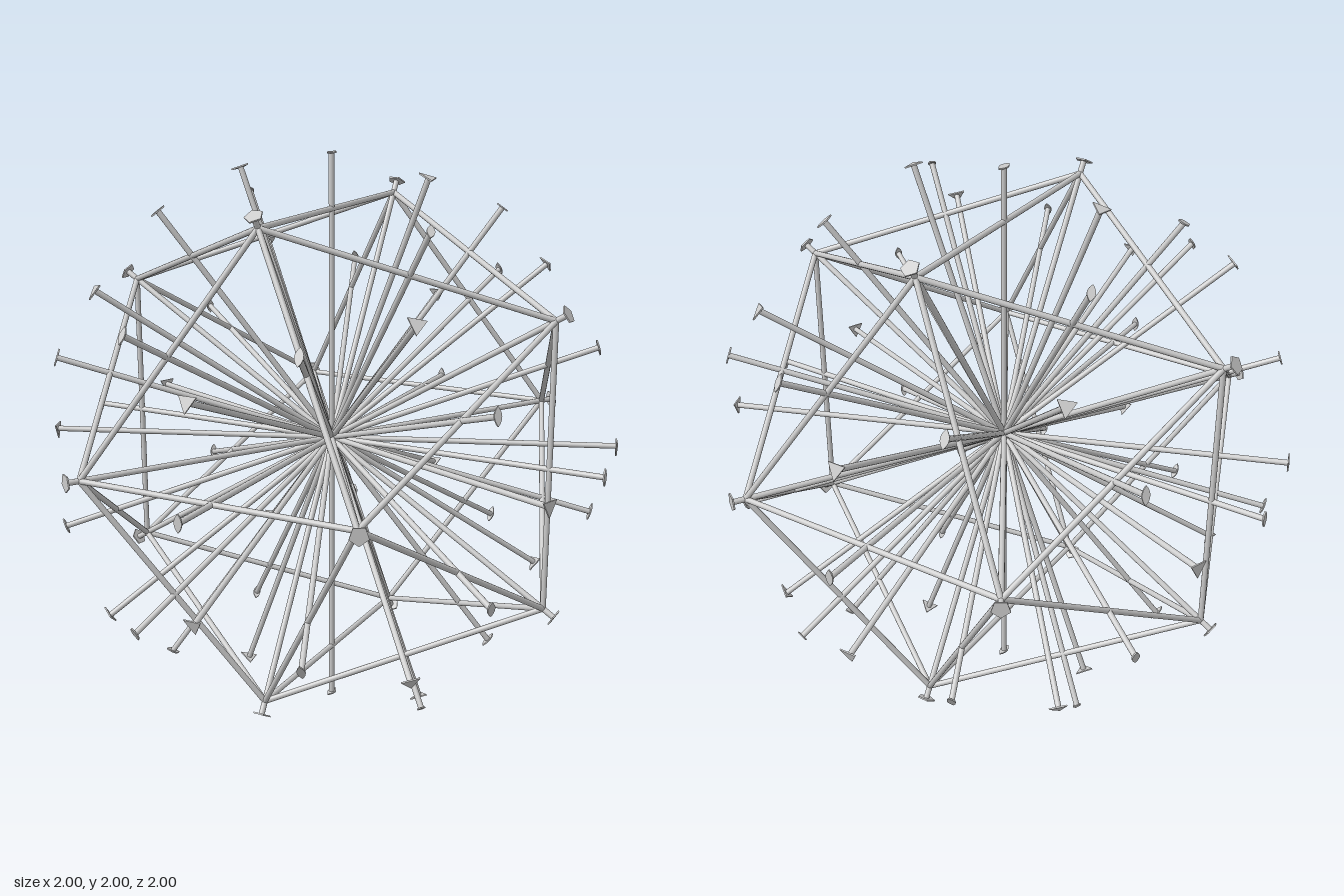
import * as THREE from 'three';

const PHI = (1 + Math.sqrt(5)) / 2;
const ROD_R = 0.01;
const CAP_T = 0.005;
const Z = new THREE.Vector3(0, 0, 1);

// All sign changes of the cyclic permutations of (a, b, c)
function orbit(a, b, c) {
  const signs = (v) => (v === 0 ? [0] : [v, -v]);
  const out = [];
  for (const [p, q, r] of [[a, b, c], [c, a, b], [b, c, a]])
    for (const x of signs(p)) for (const y of signs(q)) for (const z of signs(r))
      out.push(new THREE.Vector3(x, y, z));
  return out;
}

// One direction of each opposite pair
const primary = (v) => v.z > 0 || (v.z === 0 && (v.y < 0 || (v.y === 0 && v.x > 0)));

// Regular polygon with one corner pointing down
function polygon(n, r) {
  const pts = [];
  for (let i = 0; i < n; i++) {
    const t = -Math.PI / 2 + (i * 2 * Math.PI) / n;
    pts.push(new THREE.Vector2(r * Math.cos(t), r * Math.sin(t)));
  }
  return new THREE.Shape(pts);
}

// Narrow pointed lens, long in y
function lens(h, w) {
  const s = new THREE.Shape();
  s.moveTo(0, -h);
  s.quadraticCurveTo(2 * w, 0, 0, h);
  s.quadraticCurveTo(-2 * w, 0, 0, -h);
  return s;
}

const rodGeometry = (length) =>
  new THREE.CylinderGeometry(ROD_R, ROD_R, length, 12).rotateX(Math.PI / 2);

export function createModel() {
  const model = new THREE.Group();
  model.name = 'icosahedralSymmetryAxes';
  const mat = new THREE.MeshStandardMaterial({ color: 0xcccccc });

  const vertices = orbit(PHI / 2, 0.5, 0);
  const families = [
    { name: 'twofoldAxis', dirs: [...orbit(0.5, PHI / 2, 0.5 / PHI), ...orbit(1, 0, 0)], shape: lens(0.031, 0.014) },
    { name: 'threefoldAxis', dirs: [...orbit(1, 1, 1).slice(0, 8), ...orbit(PHI, 0, 1 / PHI)], shape: polygon(3, 0.036) },
    { name: 'fivefoldAxis', dirs: vertices, shape: polygon(5, 0.032) },
  ];

  // Axes: a rod through the centre with a symbol plate on both ends
  const axisRod = rodGeometry(2 - CAP_T);
  for (const { name, dirs, shape } of families) {
    const plate = new THREE.ExtrudeGeometry(shape, { depth: CAP_T, bevelEnabled: false, curveSegments: 8 });
    plate.translate(0, 0, -CAP_T / 2);
    for (const d of dirs.filter(primary)) {
      const axis = new THREE.Group();
      axis.name = name;
      axis.quaternion.setFromUnitVectors(Z, d.clone().normalize());
      const rod = new THREE.Mesh(axisRod, mat);
      rod.name = 'axisRod';
      axis.add(rod);
      for (const s of [1, -1]) {
        const cap = new THREE.Mesh(plate, mat);
        cap.name = 'endPlate';
        cap.position.z = s * (1 - CAP_T / 2);
        axis.add(cap);
      }
      model.add(axis);
    }
  }

  // Icosahedron frame: one unit-length bar per neighbouring pair of corners
  const edgeRod = rodGeometry(1);
  vertices.forEach((a, i) => {
    for (const b of vertices.slice(i + 1)) {
      if (a.distanceTo(b) > 1.01) continue;
      const edge = new THREE.Mesh(edgeRod, mat);
      edge.name = 'frameEdge';
      edge.position.copy(a).add(b).multiplyScalar(0.5);
      edge.quaternion.setFromUnitVectors(Z, b.clone().sub(a).normalize());
      model.add(edge);
    }
  });

  model.position.y = 1;
  const root = new THREE.Group();
  root.name = 'model';
  root.add(model);
  return root;
}
